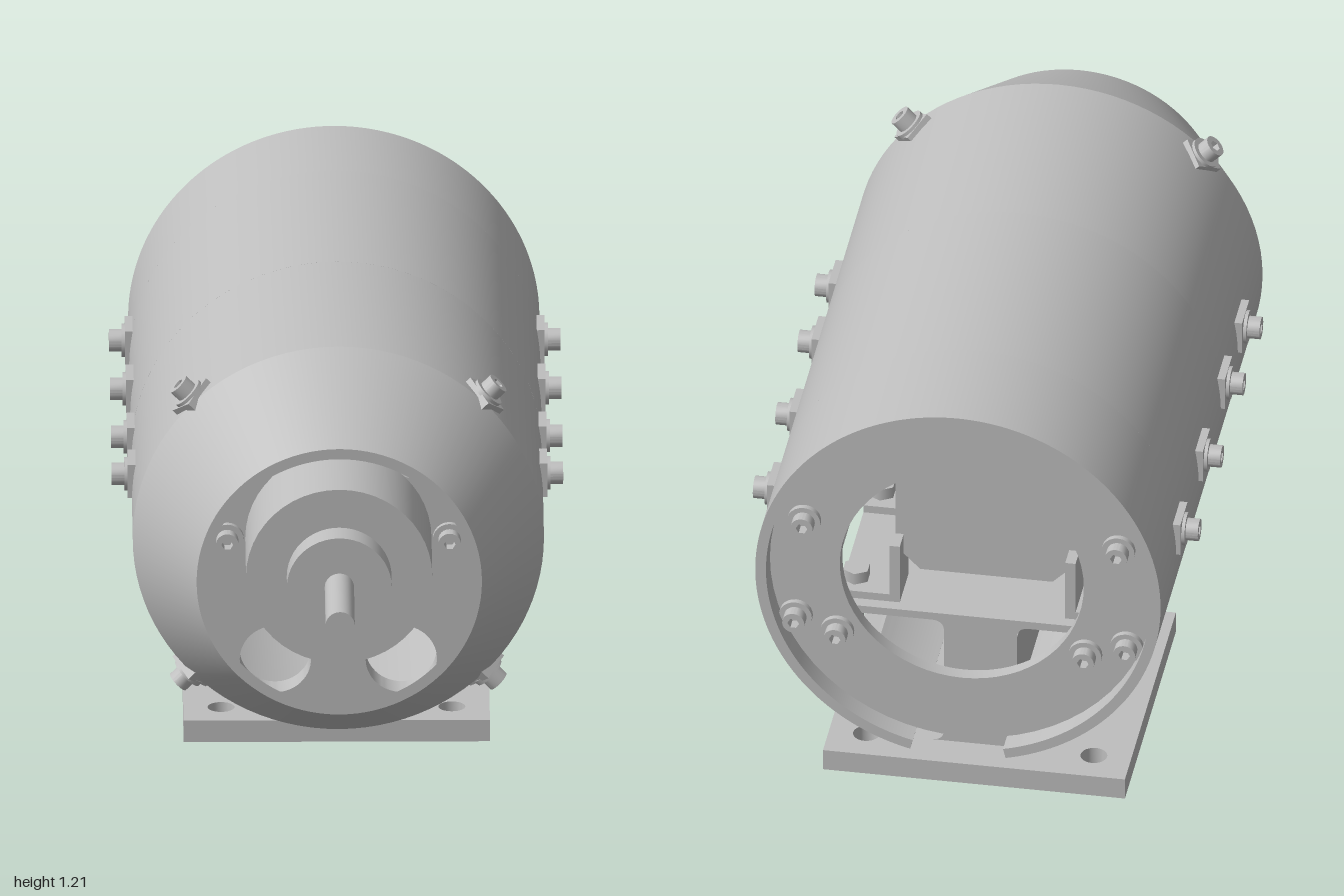
import * as THREE from 'three';
import { toCreasedNormals } from 'three/addons/utils/BufferGeometryUtils.js';

const AXIS = 0.716, R = 0.49, RI = 0.464;
const steel = new THREE.MeshStandardMaterial({ color: 0xbebebe });
steel.name = 'steel grey';

export function createModel() {
  const model = new THREE.Group();
  model.name = 'motorHousing';

  const add = (name, geo, x = 0, y = 0, z = 0, parent = model) => {
    const m = new THREE.Mesh(geo, steel);
    m.name = name;
    m.position.set(x, y, z);
    parent.add(m);
    return m;
  };
  const box = (name, x0, x1, y0, y1, z0, z1) =>
    add(name, new THREE.BoxGeometry(x1 - x0, y1 - y0, z1 - z0), (x0 + x1) / 2, (y0 + y1) / 2, (z0 + z1) / 2);
  const extrude = (shape, depth, seg = 32) =>
    toCreasedNormals(new THREE.ExtrudeGeometry(shape, { depth, bevelEnabled: false, curveSegments: seg }), 0.5);
  const circle = (x, y, r, Type = THREE.Path) => new Type().absarc(x, y, r, 0, Math.PI * 2, false);
  // cylinder lying along z
  const rod = (name, r, z0, z1, x = 0, y = AXIS, sides = 48, parent = model) =>
    add(name, new THREE.CylinderGeometry(r, r, z1 - z0, sides).rotateX(Math.PI / 2), x, y, (z0 + z1) / 2, parent);

  // Front shell: full tube running into the tapered nose
  const profile = [[RI, -0.12], [R, -0.12], [R, 0.43], [0.34, 0.715], [0.314, 0.715], [RI, 0.43], [RI, -0.12]]
    .map(p => new THREE.Vector2(...p));
  add('frontShell', toCreasedNormals(new THREE.LatheGeometry(profile, 96).rotateX(Math.PI / 2), 0.4), 0, AXIS, 0);

  // Rear shell: curved wall pieces around the bottom gap and the two side windows
  const wall = (name, d0, d1, z0, z1) => { // degrees counted from straight down
    const a0 = THREE.MathUtils.degToRad(d0 - 90), a1 = THREE.MathUtils.degToRad(d1 - 90);
    const s = new THREE.Shape();
    s.absarc(0, 0, R, a0, a1, false);
    s.absarc(0, 0, RI, a1, a0, true);
    s.closePath();
    add(name, extrude(s, z1 - z0, Math.max(8, Math.round((d1 - d0) / 3.5))), 0, AXIS, z0);
  };
  const GAP = 13.6, W0 = 32, W1 = 52.8;
  wall('rearShell', GAP, 360 - GAP, -1, -0.71);
  wall('middleShell', W1, 360 - W1, -0.71, -0.12);
  wall('leftSill', GAP, W0, -0.71, -0.12);
  wall('rightSill', 360 - W0, 360 - GAP, -0.71, -0.12);

  // Socket head screw pointing along +z
  const hexHole = new THREE.Path();
  for (let i = 0; i < 6; i++) {
    const a = i * Math.PI / 3, x = 0.014 * Math.cos(a), y = 0.014 * Math.sin(a);
    if (i) hexHole.lineTo(x, y); else hexHole.moveTo(x, y);
  }
  hexHole.closePath();
  const headShape = circle(0, 0, 0.027, THREE.Shape);
  headShape.holes.push(hexHole);
  const headGeo = extrude(headShape, 0.03, 12);
  const screw = (name, x, y, z, dir, pad = 0) => {
    const g = new THREE.Group();
    g.name = name;
    g.position.set(x, y, z);
    g.quaternion.setFromUnitVectors(new THREE.Vector3(0, 0, 1), dir);
    if (pad) add('pad', new THREE.BoxGeometry(pad, 0.085, 0.03), 0, 0, -0.009, g);
    rod('washer', 0.04, 0, 0.014, 0, 0, 24, g);
    add('head', headGeo, 0, 0, 0.014, g);
    model.add(g);
  };

  for (const s of [1, -1]) {
    // Screws along each side with their inner rail
    for (const z of [0.135, -0.105, -0.415, -0.73])
      screw('sideScrew', s * 0.494, 0.765, z, new THREE.Vector3(s, 0, 0), 0.1);
    const [a, b] = s > 0 ? [0.435, 0.455] : [-0.455, -0.435];
    box('rail', a, b, 0.72, 0.81, -0.8, 0.2);
    const [c, d] = s > 0 ? [0.33, 0.435] : [-0.435, -0.33];
    box('railShelf', c, d, 0.72, 0.735, -0.8, 0.2);
    // Diagonal screws holding the front plate
    for (const t of [1, -1]) {
      const dir = new THREE.Vector3(s, t, 0).normalize();
      screw('noseScrew', dir.x * 0.496, AXIS + dir.y * 0.496, 0.395, dir, 0.075);
    }
    // Rear ring screws
    for (const [x, y] of [[0.38, 0.12], [0.4, -0.155], [0.3, -0.19]])
      screw('rearScrew', s * x, AXIS + y, -0.945, new THREE.Vector3(0, 0, -1));
    // Motor feet and hanging studs
    for (const z of [-0.235, -0.595]) {
      const [f0, f1] = s > 0 ? [0.2, 0.35] : [-0.35, -0.2];
      box('motorFoot', f0, f1, 0.42, 0.44, z - 0.06, z + 0.06);
      const [l0, l1] = s > 0 ? [0.2, 0.225] : [-0.225, -0.2];
      box('footLeg', l0, l1, 0.44, 0.58, z - 0.06, z + 0.06);
      const x = s * 0.315;
      add('stud', new THREE.CylinderGeometry(0.018, 0.018, 0.155, 16), x, 0.3825, z);
      add('nut', new THREE.CylinderGeometry(0.034, 0.034, 0.035, 6), x, 0.374, z);
      add('studWasher', new THREE.CylinderGeometry(0.038, 0.038, 0.009, 20), x, 0.396, z);
      add('studHead', new THREE.CylinderGeometry(0.034, 0.034, 0.03, 6), x, 0.455, z);
    }
  }

  // Front plate with clearance holes
  const plate = circle(0, 0, RI, THREE.Shape);
  for (const s of [1, -1]) {
    plate.holes.push(circle(s * 0.19, 0.235, 0.085));
    plate.holes.push(circle(s * 0.15, -0.31, 0.085));
  }
  add('frontPlate', extrude(plate, 0.07), 0, AXIS, 0.36);
  for (let i = 0; i < 4; i++) {
    const a = i * Math.PI / 2;
    screw('flangeScrew', 0.265 * Math.cos(a), AXIS + 0.265 * Math.sin(a), 0.43, new THREE.Vector3(0, 0, 1));
  }

  // Rear ring
  const ring = circle(0, 0, RI, THREE.Shape);
  ring.holes.push(circle(0, 0, 0.295));
  add('rearRing', extrude(ring, 0.035), 0, AXIS, -0.945);

  // Motor: chamfered body, front disc, boss and shaft
  const bx = 0.22, by = 0.232, ch = 0.06;
  const body = new THREE.Shape([[bx, -by + ch], [bx, by - ch], [bx - ch, by], [-bx + ch, by],
    [-bx, by - ch], [-bx, -by + ch], [-bx + ch, -by], [bx - ch, -by]].map(p => new THREE.Vector2(...p)));
  add('motorBody', extrude(body, 0.96), 0, AXIS, -0.6);
  rod('motorDisc', 0.222, 0.43, 0.68);
  rod('motorBoss', 0.125, 0.68, 0.75);
  rod('shaft', 0.035, 0.75, 1, 0, AXIS, 32);

  // Pedestal: web with flared end faces, carrying the mounting plate
  const w = 0.088, f = 0.03;
  const flare = new THREE.Shape();
  flare.moveTo(-w - f, 0.055);
  flare.lineTo(w + f, 0.055);
  flare.quadraticCurveTo(w, 0.055, w, 0.055 + f);
  flare.lineTo(w, 0.4 - f);
  flare.quadraticCurveTo(w, 0.4, w + f, 0.4);
  flare.lineTo(-w - f, 0.4);
  flare.quadraticCurveTo(-w, 0.4, -w, 0.4 - f);
  flare.lineTo(-w, 0.055 + f);
  flare.quadraticCurveTo(-w, 0.055, -w - f, 0.055);
  const flareGeo = new THREE.ShapeGeometry(flare);
  add('pedestalFront', flareGeo, 0, 0, -0.15);
  add('pedestalBack', flareGeo, 0, 0, -0.685).rotation.y = Math.PI;
  box('pedestalWeb', -w, w, 0.055 + f, 0.4 - f, -0.684, -0.151);
  box('mountingPlate', -0.35, 0.35, 0.4, 0.42, -0.685, -0.15);

  // Base plate with four holes
  const base = new THREE.Shape([[-0.365, -0.3575], [0.365, -0.3575], [0.365, 0.3575], [-0.365, 0.3575]]
    .map(p => new THREE.Vector2(...p)));
  for (const x of [-0.275, 0.275]) for (const y of [-0.27, 0.27]) base.holes.push(circle(x, y, 0.032));
  add('basePlate', extrude(base, 0.055, 16).rotateX(-Math.PI / 2), 0, 0, -0.4175);

  return model;
}
